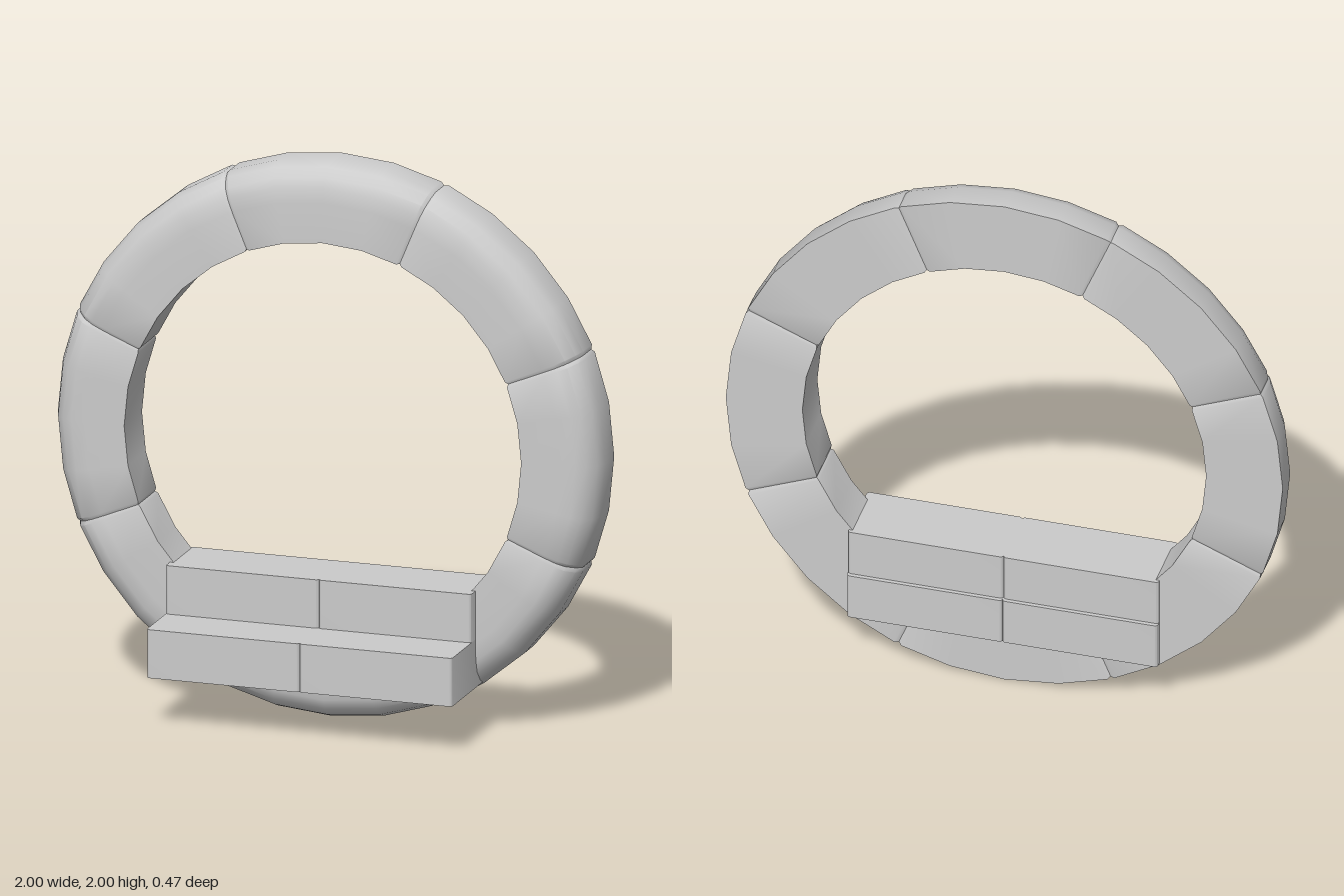
import * as THREE from 'three';
import { toCreasedNormals } from 'three/addons/utils/BufferGeometryUtils.js';

const material = new THREE.MeshStandardMaterial({ color: 0xcccccc });

// Ring cross-section as [radius, z]: flat back, rounded outer front edge
const PROFILE = [
  [0.725, -0.205], [1, -0.205], [1, -0.11], [0.985, -0.07],
  [0.955, -0.035], [0.92, -0.02], [0.87, -0.015], [0.725, -0.015],
];
const MID_R = 0.8625, MID_Z = -0.11;

// One eighth of the ring: four facets, pinched slightly at both ends to form the joint grooves
function segmentGeometry() {
  const sections = [
    [0, 0.006], [0.8, 0], [11.25, 0], [22.5, 0], [33.75, 0], [44.2, 0], [45, 0.006],
  ];
  const n = PROFILE.length;
  const positions = [], indices = [];
  sections.forEach(([degrees, inset], i) => {
    const a = THREE.MathUtils.degToRad(degrees);
    PROFILE.forEach(([radius, depth], j) => {
      const r = radius - Math.sign(radius - MID_R) * inset;
      const z = depth - Math.sign(depth - MID_Z) * inset;
      positions.push(r * Math.cos(a), r * Math.sin(a), z);
      if (i === sections.length - 1) return;
      const k = (j + 1) % n;
      const p = i * n + j, q = p + n, s = i * n + k, t = s + n;
      indices.push(p, q, s, q, t, s);
    });
  });
  const geometry = new THREE.BufferGeometry();
  geometry.setAttribute('position', new THREE.Float32BufferAttribute(positions, 3));
  geometry.setIndex(indices);
  return toCreasedNormals(geometry, 0.65);
}

// Block with rounded upright edges, from its plan size and height range
function blockGeometry(width, depth, height) {
  const r = 0.012, w = width / 2, d = depth / 2;
  const plan = new THREE.Shape();
  plan.moveTo(-w + r, -d);
  plan.lineTo(w - r, -d);
  plan.absarc(w - r, -d + r, r, -Math.PI / 2, 0);
  plan.absarc(w - r, d - r, r, 0, Math.PI / 2);
  plan.absarc(-w + r, d - r, r, Math.PI / 2, Math.PI);
  plan.absarc(-w + r, -d + r, r, Math.PI, Math.PI * 1.5);
  const geometry = new THREE.ExtrudeGeometry(plan, { depth: height, bevelEnabled: false, curveSegments: 4 });
  geometry.rotateX(-Math.PI / 2);
  return toCreasedNormals(geometry, 0.65);
}

export function createModel() {
  const model = new THREE.Group();
  model.name = 'ringGateway';

  // Eight ring segments
  const ring = new THREE.Group();
  ring.name = 'ring';
  ring.position.y = 1;
  const segment = segmentGeometry();
  for (let i = 0; i < 8; i++) {
    const mesh = new THREE.Mesh(segment, material);
    mesh.name = `ringSegment${i + 1}`;
    mesh.rotation.z = (i + 0.5) * Math.PI / 4;
    ring.add(mesh);
  }
  model.add(ring);

  // Two steps, each made of a left and a right half
  const steps = [
    { name: 'lowerStep', bottom: 0.178, top: 0.352, back: -0.235, front: 0.235 },
    { name: 'upperStep', bottom: 0.352, top: 0.526, back: -0.22, front: 0.03 },
  ];
  for (const { name, bottom, top, back, front } of steps) {
    const step = new THREE.Group();
    step.name = name;
    const half = blockGeometry(0.558, front - back, top - bottom);
    for (const side of [-1, 1]) {
      const mesh = new THREE.Mesh(half, material);
      mesh.name = name + (side > 0 ? 'Left' : 'Right');
      mesh.position.set(side * 0.279, bottom, (front + back) / 2);
      step.add(mesh);
    }
    model.add(step);
  }
  return model;
}
